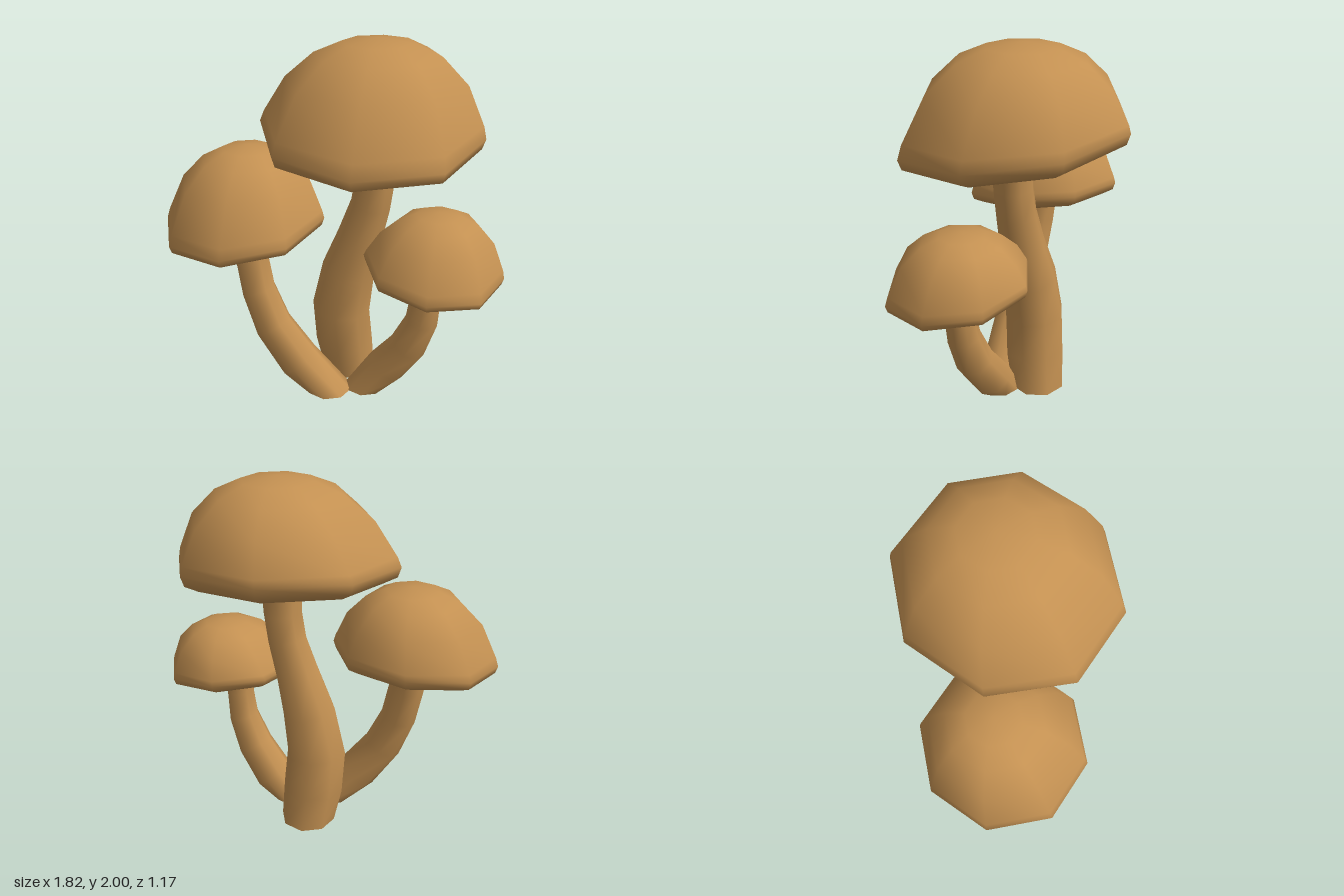
import * as THREE from 'three';
import { mergeVertices } from 'three/addons/utils/BufferGeometryUtils.js';

const SIDES = 8;

// Cap outline for a rim radius of 1: underside, rolled rim, then dome
const OUTLINE = [[0, -0.05], [0.2, -0.06], [0.45, -0.04], [0.85, -0.15], [0.97, -0.09], [1, 0],
  [0.97, 0.1], [0.8, 0.42], [0.56, 0.64], [0.32, 0.745], [0, 0.785]];

// Eight-sided dome whose rim slopes while its top stays level and leans a little
function capGeometry(r, tall, slopeX, slopeZ) {
  const points = OUTLINE.map(([x, y]) => new THREE.Vector2(x * r, y * r * (y > 0.1 ? tall : 1)));
  const lathe = new THREE.LatheGeometry(points, SIDES, THREE.MathUtils.degToRad(33));
  lathe.deleteAttribute('uv');
  lathe.deleteAttribute('normal');
  const geo = mergeVertices(lathe, 1e-4);
  const p = geo.attributes.position;
  const top = 0.785 * r * tall;
  for (let i = 0; i < p.count; i++) {
    const x = p.getX(i), y = p.getY(i), z = p.getZ(i);
    const h = Math.max(y, 0);
    const fade = (1 - h / top) ** 2;
    p.setXYZ(i, x + 0.08 * h, y + fade * (slopeX * x + slopeZ * z), z - 0.12 * h);
  }
  geo.computeVertexNormals();
  return geo;
}

// Bent stem through rows of [x, y, z, radius], cut flat at the ground
function stemGeometry(rows) {
  const centres = rows.map(([x, y, z]) => new THREE.Vector3(x, y, z));
  const pos = [], index = [];
  const front = new THREE.Vector3(0, 0, 1);
  rows.forEach((row, i) => {
    const t = centres[Math.min(i + 1, rows.length - 1)].clone().sub(centres[Math.max(i - 1, 0)]).normalize();
    if (i === 0) t.set(0, 1, 0);
    const u = t.clone().cross(front).normalize();
    const v = u.clone().cross(t);
    for (let j = 0; j < SIDES; j++) {
      const a = (j + 0.3) / SIDES * Math.PI * 2;
      const q = centres[i].clone().addScaledVector(u, Math.cos(a) * row[3]).addScaledVector(v, Math.sin(a) * row[3]);
      pos.push(q.x, q.y, q.z);
    }
  });
  for (let i = 0; i < rows.length - 1; i++) {
    for (let j = 0; j < SIDES; j++) {
      const a = i * SIDES + j, b = i * SIDES + (j + 1) % SIDES;
      index.push(a, a + SIDES, b, b, a + SIDES, b + SIDES);
    }
  }
  // flat foot with its own corners so its edge stays sharp
  const foot = pos.length / 3;
  pos.push(...pos.slice(0, SIDES * 3), rows[0][0], rows[0][1], rows[0][2]);
  for (let j = 0; j < SIDES; j++) index.push(foot + SIDES, foot + j, foot + (j + 1) % SIDES);
  const geo = new THREE.BufferGeometry();
  geo.setAttribute('position', new THREE.Float32BufferAttribute(pos, 3));
  geo.setIndex(index);
  geo.computeVertexNormals();
  return geo;
}

const MUSHROOMS = [
  { name: 'tallMushroom', cap: [0.597, 1, 0.0, -0.125], at: [0.21, 1.53, 0.003],
    stem: [[0.115, 0, -0.11, 0.155], [0.085, 0.2, -0.09, 0.17], [0.065, 0.43, -0.08, 0.168], [0.105, 0.68, -0.06, 0.152],
      [0.165, 0.9, -0.03, 0.125], [0.22, 1.1, -0.01, 0.11], [0.24, 1.25, 0, 0.108], [0.245, 1.53, 0.01, 0.115]] },
  { name: 'rightMushroom', cap: [0.45, 1.15, 0.1, -0.1], at: [-0.473, 1.02, -0.03],
    stem: [[-0.01, 0, 0.12, 0.13], [-0.18, 0.18, 0.1, 0.12], [-0.325, 0.39, 0.06, 0.11], [-0.405, 0.6, 0.02, 0.1],
      [-0.44, 0.8, -0.01, 0.098], [-0.45, 1.02, -0.03, 0.102]] },
  { name: 'leftMushroom', cap: [0.375, 1.02, -0.07, -0.12], at: [0.545, 0.837, 0.222],
    stem: [[0.2, 0, 0.1, 0.115], [0.325, 0.15, 0.12, 0.115], [0.435, 0.32, 0.18, 0.105], [0.5, 0.5, 0.215, 0.09],
      [0.515, 0.66, 0.23, 0.082], [0.515, 0.84, 0.235, 0.083]] },
];

export function createModel() {
  const model = new THREE.Group();
  model.name = 'mushroomCluster';
  const tan = new THREE.MeshStandardMaterial({ color: 0xc49152 });
  tan.name = 'mushroomTan';
  for (const { name, cap, at, stem } of MUSHROOMS) {
    const mushroom = new THREE.Group();
    mushroom.name = name;
    const capMesh = new THREE.Mesh(capGeometry(...cap), tan);
    capMesh.name = 'cap';
    capMesh.position.set(...at);
    const stemMesh = new THREE.Mesh(stemGeometry(stem), tan);
    stemMesh.name = 'stem';
    mushroom.add(capMesh, stemMesh);
    model.add(mushroom);
  }
  return model;
}
